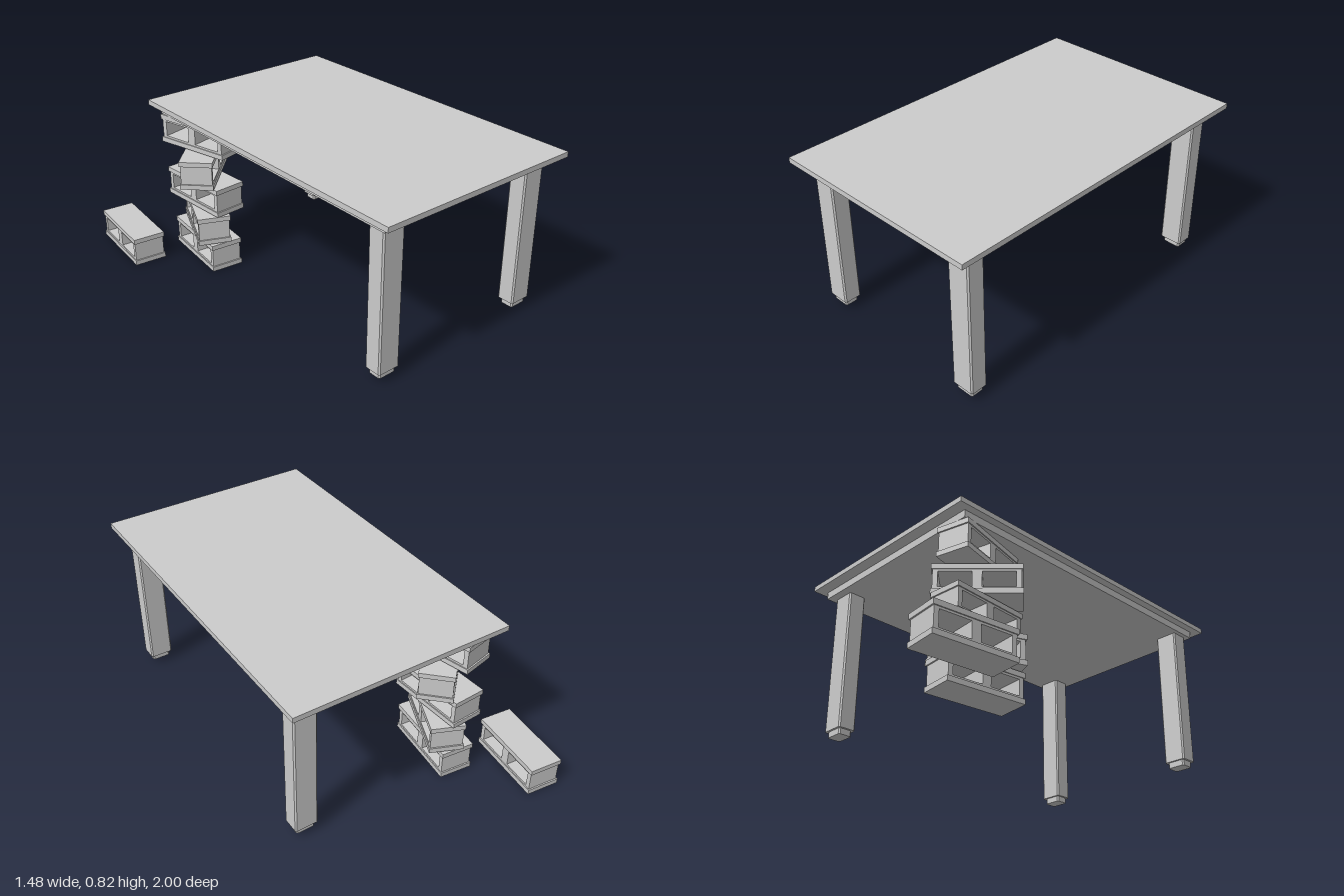
import * as THREE from 'three';

const material = new THREE.MeshStandardMaterial({ color: 0xcccccc, flatShading: true });

function addMesh(parent, geometry, name, x = 0, y = 0, z = 0) {
  const mesh = new THREE.Mesh(geometry, material);
  mesh.name = name;
  mesh.position.set(x, y, z);
  parent.add(mesh);
  return mesh;
}

// Box given by its bottom and top heights
function addSlab(parent, name, w, d, y0, y1, x = 0, z = 0) {
  return addMesh(parent, new THREE.BoxGeometry(w, y1 - y0, d), name, x, (y0 + y1) / 2, z);
}

// Upright post with chamfered corners
function postGeometry(w, d, h, c) {
  const a = w / 2, b = d / 2;
  const shape = new THREE.Shape([
    [a - c, -b], [a, -b + c], [a, b - c], [a - c, b],
    [-a + c, b], [-a, b - c], [-a, -b + c], [-a + c, -b],
  ].map(([x, y]) => new THREE.Vector2(x, y)));
  return new THREE.ExtrudeGeometry(shape, { depth: h, bevelEnabled: false }).rotateX(-Math.PI / 2);
}

function rectangle(path, x0, y0, x1, y1) {
  path.moveTo(x0, y0);
  path.lineTo(x1, y0);
  path.lineTo(x1, y1);
  path.lineTo(x0, y1);
  path.closePath();
  return path;
}

const BLOCK = { w: 0.167, h: 0.147, l: 0.405, plate: 0.025 };

// Core of a block: two openings run through it from side to side
function blockCoreGeometry() {
  const { w, h, l, plate } = BLOCK;
  const half = l / 2 - 0.007;
  const shape = rectangle(new THREE.Shape(), -half, plate, half, h - plate);
  for (const x0 of [-0.172, 0.022]) {
    shape.holes.push(rectangle(new THREE.Path(), x0, 0.035, x0 + 0.15, h - 0.035));
  }
  const depth = w - 0.01;
  return new THREE.ExtrudeGeometry(shape, { depth, bevelEnabled: false })
    .translate(0, 0, -depth / 2)
    .rotateY(Math.PI / 2);
}

function makeBlock(name, x, y, z, turn) {
  const { w, h, l, plate } = BLOCK;
  const block = new THREE.Group();
  block.name = name;
  addSlab(block, 'bottomPlate', w, l, 0, plate);
  addSlab(block, 'topPlate', w, l, h - plate, h);
  addMesh(block, blockCoreGeometry(), 'hollowCore');
  block.position.set(x, y, z);
  block.rotation.y = turn;
  return block;
}

export function createModel() {
  const model = new THREE.Group();
  model.name = 'tableOnBlocks';

  // Table, turned slightly
  const table = new THREE.Group();
  table.name = 'table';
  table.position.set(0.103, 0, 0.068);
  table.rotation.y = 0.104;
  model.add(table);
  addSlab(table, 'tableTop', 1.1, 1.752, 0.799, 0.825);
  addSlab(table, 'underSlab', 1.026, 1.64, 0.762, 0.799);

  // Three legs with smaller feet; the back right one is missing
  for (const [name, sx, sz] of [['frontLeftLeg', 1, 1], ['frontRightLeg', -1, 1], ['backLeftLeg', 1, -1]]) {
    const leg = new THREE.Group();
    leg.name = name;
    leg.position.set(sx * 0.432, 0, sz * 0.742 + 0.007);
    addMesh(leg, postGeometry(0.117, 0.09, 0.709, 0.007), 'legPost', 0, 0.053, 0);
    addMesh(leg, postGeometry(0.093, 0.068, 0.03, 0.007), 'foot', 0, 0.024, 0);
    table.add(leg);
  }

  // Stack of blocks in place of the missing leg, each turned differently
  const stack = new THREE.Group();
  stack.name = 'blockStack';
  [0, -0.3, 0.17, -0.68, 0.34].forEach((turn, i) => {
    stack.add(makeBlock('stackedBlock' + (i + 1), -0.357, i * 0.1537, -0.518, turn));
  });
  model.add(stack);

  // Spare block on the ground
  model.add(makeBlock('looseBlock', -0.66, 0, -0.797, 0));
  return model;
}
